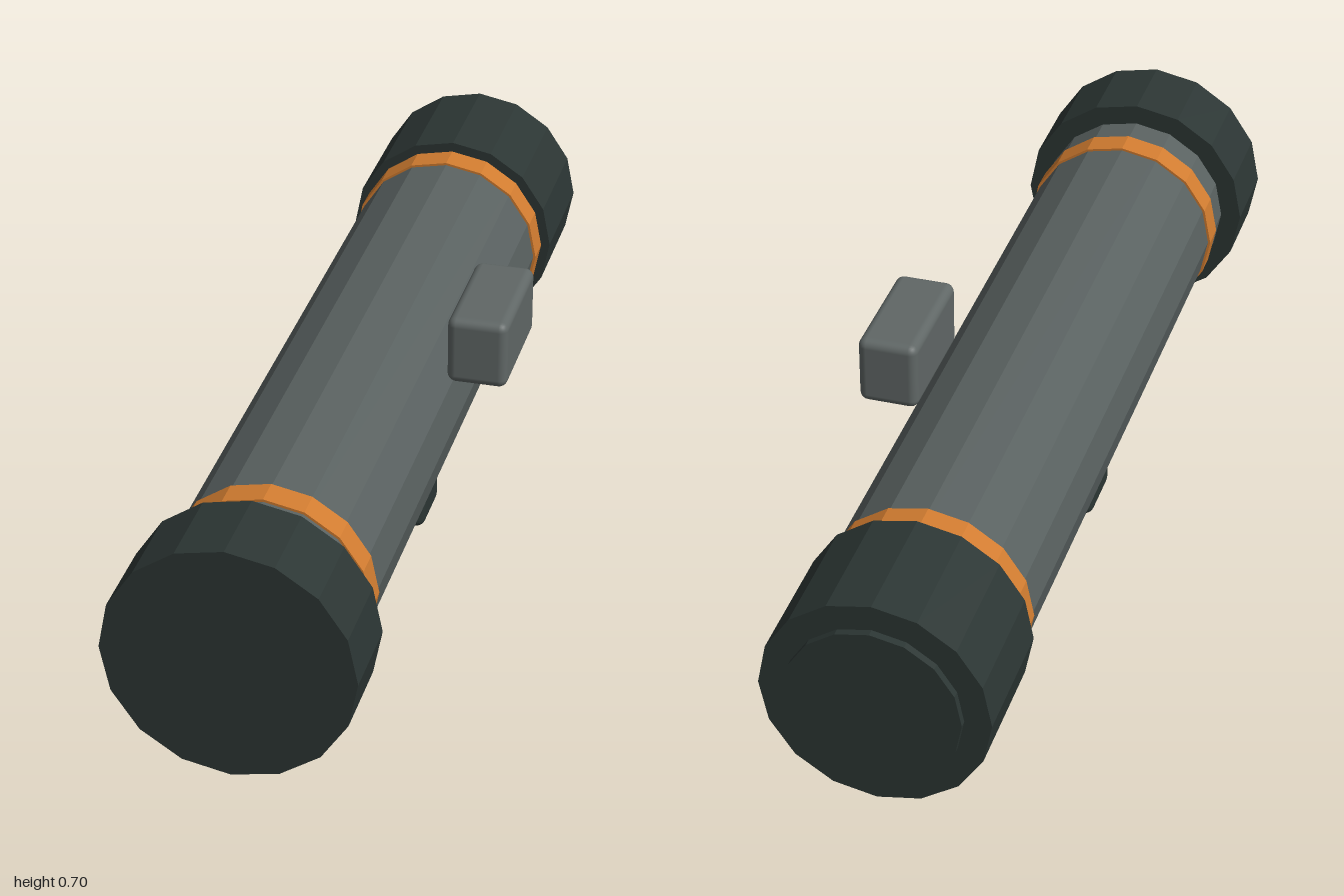
import * as THREE from 'three';
import { RoundedBoxGeometry } from 'three/addons/geometries/RoundedBoxGeometry.js';

const AXIS_X = -0.029, AXIS_Y = 0.459;

export function createModel() {
  const group = new THREE.Group();
  group.name = 'shoulderLauncher';

  const material = (name, color, flatShading = false) => {
    const m = new THREE.MeshStandardMaterial({ color, flatShading });
    m.name = name;
    return m;
  };
  const darkGreen = material('darkGreen', 0x2c3634, true);
  const grey = material('grey', 0x596160, true);
  const orange = material('orange', 0xd17c30, true);
  const lightGrey = material('lightGrey', 0x606766);

  const add = (name, geometry, mat, x, y, z) => {
    const mesh = new THREE.Mesh(geometry, mat);
    mesh.name = name;
    mesh.position.set(x, y, z);
    group.add(mesh);
  };

  // Sixteen-sided cylinder along z between two depths
  const barrel = (name, radius, z0, z1, mat) => {
    const geometry = new THREE.CylinderGeometry(radius, radius, z1 - z0, 16);
    geometry.rotateX(Math.PI / 2);
    add(name, geometry, mat, AXIS_X, AXIS_Y, (z0 + z1) / 2);
  };

  // Rounded block between two corners
  const block = (name, [x0, y0, z0], [x1, y1, z1], radius, mat) =>
    add(name, new RoundedBoxGeometry(x1 - x0, y1 - y0, z1 - z0, 3, radius), mat,
      (x0 + x1) / 2, (y0 + y1) / 2, (z0 + z1) / 2);

  // Launch tube, its end caps and the rear plate
  barrel('tube', 0.199, -0.9, 0.9, grey);
  barrel('frontCap', 0.242, 0.827, 1, darkGreen);
  barrel('rearCap', 0.222, -0.985, -0.723, darkGreen);
  barrel('rearPlate', 0.17, -1, -0.98, darkGreen);

  // Painted rings
  barrel('frontRing', 0.204, 0.705, 0.76, orange);
  barrel('rearRing', 0.204, -0.717, -0.658, orange);

  // Two grips below
  block('frontGrip', [-0.095, 0, 0.254], [0.037, 0.277, 0.401], 0.02, darkGreen);
  block('rearGrip', [-0.092, 0, -0.356], [0.034, 0.277, -0.214], 0.02, darkGreen);

  // Sight on the left side
  block('sight', [0.145, 0.54, -0.2], [0.268, 0.685, 0.062], 0.018, lightGrey);

  return group;
}
